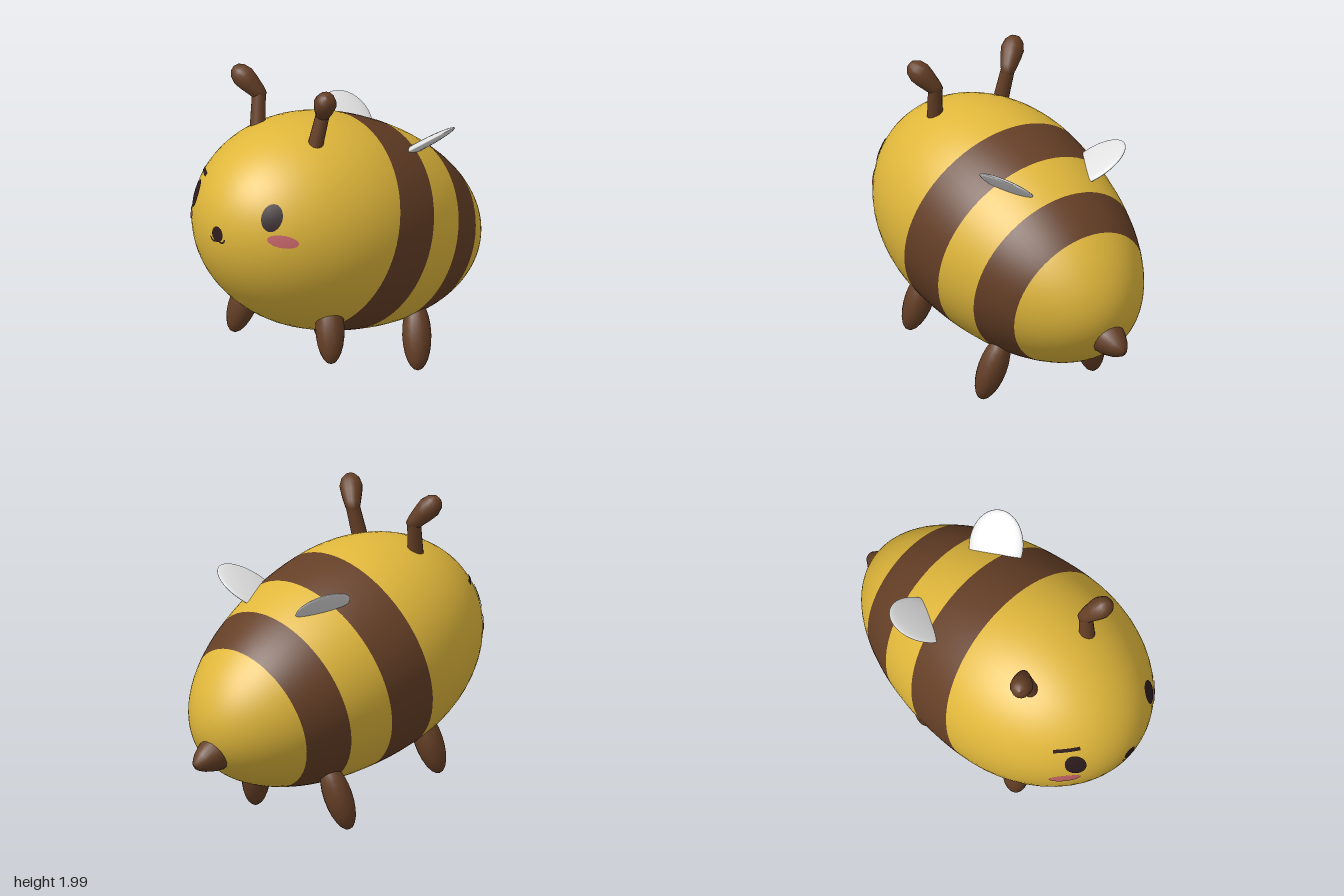
import * as THREE from 'three';

const V = (x, y, z) => new THREE.Vector3(x, y, z);
const mat = (name, color, side = THREE.FrontSide) => {
  const m = new THREE.MeshStandardMaterial({ color, side });
  m.name = name;
  return m;
};

// Egg-shaped body: radius B, widest at z = T0, long axis along z
const B = 0.68, T0 = 0.2, FRONT = 0.9, BACK = 1.29;
const halfLength = (z) => (z >= T0 ? FRONT : BACK);
const bodyNormal = (p) => {
  const a = halfLength(p.z);
  return V(p.x / (B * B), p.y / (B * B), (p.z - T0) / (a * a)).normalize();
};
const onBody = (p, lift = 1) => {
  const a = halfLength(p.z);
  const k = lift / Math.hypot(p.x / B, p.y / B, (p.z - T0) / a);
  return V(p.x * k, p.y * k, T0 + (p.z - T0) * k);
};

// One colour band of the body between two positions on the axis
function bodyBand(z0, z1) {
  const angle = (z) => Math.acos(THREE.MathUtils.clamp((z - T0) / halfLength(z), -1, 1));
  const a0 = angle(z0), a1 = angle(z1), n = 16, pts = [];
  for (let i = 0; i <= n; i++) {
    const a = a0 + ((a1 - a0) * i) / n, c = Math.cos(a);
    pts.push(new THREE.Vector2(B * Math.sin(a), T0 + c * (c >= 0 ? FRONT : BACK)));
  }
  const geo = new THREE.LatheGeometry(pts, 64).rotateX(Math.PI / 2);
  const pos = geo.attributes.position, p = V(0, 0, 0);
  for (let i = 0; i < pos.count; i++) {
    const nrm = bodyNormal(p.fromBufferAttribute(pos, i));
    geo.attributes.normal.setXYZ(i, nrm.x, nrm.y, nrm.z);
  }
  return geo;
}

// Wraps a flat geometry onto the face around (x, y)
function decal(geo, x, y, lift = 1.006) {
  const c = V(x, y, T0 + FRONT * Math.sqrt(1 - (x * x + y * y) / (B * B)));
  const n = bodyNormal(c);
  const tx = V(1, 0, 0).addScaledVector(n, -n.x).normalize();
  const ty = n.clone().cross(tx);
  const pos = geo.attributes.position;
  for (let i = 0; i < pos.count; i++) {
    const p = c.clone().addScaledVector(tx, pos.getX(i)).addScaledVector(ty, pos.getY(i));
    const q = onBody(p, lift);
    pos.setXYZ(i, q.x, q.y, q.z);
  }
  geo.computeVertexNormals();
  return geo;
}
const ellipse = (rx, ry, tilt = 0) =>
  new THREE.RingGeometry(0.001, 1, 32, 4).scale(rx, ry, 1).rotateZ(tilt);

export function createModel() {
  const model = new THREE.Group();
  model.name = 'bee';
  const bee = new THREE.Group();
  bee.name = 'tiltedBee';
  bee.position.set(0.033, 0.935, 0);
  bee.rotation.set(THREE.MathUtils.degToRad(-18.3), THREE.MathUtils.degToRad(-32), 0, 'YXZ');
  model.add(bee);

  const yellow = mat('yellow', 0xe0b73b);
  const brown = mat('brown', 0x653f26);
  const dark = mat('dark brown', 0x2e1c1e, THREE.DoubleSide);
  const pink = mat('pink', 0xcb686c, THREE.DoubleSide);
  const white = mat('white', 0xe0e0e0);

  const add = (name, geo, material) => {
    const mesh = new THREE.Mesh(geo, material);
    mesh.name = name;
    bee.add(mesh);
    return mesh;
  };
  const aim = (mesh, at, dir) => {
    mesh.position.copy(at);
    mesh.quaternion.setFromUnitVectors(V(0, 1, 0), dir.clone().normalize());
    return mesh;
  };

  // Striped body, tail to head
  const cuts = [T0 - BACK, -0.71, -0.43, -0.135, T0, T0 + FRONT];
  for (let i = 0; i < 5; i++) {
    const stripe = i % 2 === 1;
    add(stripe ? 'bodyStripe' : 'bodyBand', bodyBand(cuts[i], cuts[i + 1]), stripe ? brown : yellow);
  }

  // Stinger
  const stingerProfile = [[0, -0.08], [0.1, -0.05], [0.115, 0], [0.1, 0.07], [0.068, 0.14], [0.035, 0.185], [0, 0.2]]
    .map(([r, y]) => new THREE.Vector2(r, y));
  aim(add('stinger', new THREE.LatheGeometry(stingerProfile, 16), brown), V(0, -0.07, -1.03), V(0, 0, -1));

  const bulbProfile = [[0, -0.05], [0.035, -0.035], [0.05, 0.01], [0.066, 0.09], [0.072, 0.14], [0.058, 0.19], [0.032, 0.218], [0, 0.228]]
    .map(([r, y]) => new THREE.Vector2(r, y));

  for (const s of [1, -1]) {
    const side = s > 0 ? 'left' : 'right';

    // Antenna: stem and bent bulb
    const base = V(0.25 * s, 0.48, 0.66), knee = V(0.28 * s, 0.705, 0.69), tip = V(0.366 * s, 0.79, 0.785);
    const stemDir = knee.clone().sub(base);
    aim(add(side + 'AntennaStem', new THREE.CylinderGeometry(0.044, 0.05, stemDir.length(), 12), brown),
      base.clone().add(knee).multiplyScalar(0.5), stemDir);
    aim(add(side + 'AntennaBulb', new THREE.LatheGeometry(bulbProfile, 14), brown), knee, tip.sub(knee));

    // Legs
    for (const [name, y, z] of [['FrontLeg', -0.61, 0.29], ['BackLeg', -0.59, -0.5]]) {
      aim(add(side + name, new THREE.SphereGeometry(1, 16, 12).scale(0.09, 0.22, 0.09), brown),
        V(0.375 * s, y, z), V(0.25 * s, -0.95, -0.1));
    }

    // Wing: flat ellipsoid sunk into the back
    const along = V(0.46 * s, -0.093, 0.885).normalize();
    const out = V(0.7 * s, 0.65, -0.297);
    out.addScaledVector(along, -out.dot(along)).normalize();
    const wing = add(side + 'Wing', new THREE.SphereGeometry(1, 32, 20).scale(0.175, 0.23, 0.028), white);
    wing.quaternion.setFromRotationMatrix(new THREE.Matrix4().makeBasis(along, out, along.clone().cross(out)));
    wing.position.set(0.335 * s, 0.59, -0.205);

    // Eye, cheek and half of the small smile
    add(side + 'Eye', decal(ellipse(0.066, 0.088), 0.33 * s, 0.03), dark);
    add(side + 'Cheek', decal(ellipse(0.1, 0.04, -0.1 * s), 0.4 * s, -0.1), pink);
    const smile = new THREE.RingGeometry(0.02, 0.031, 12, 1, Math.PI, Math.PI);
    add(side + 'Smile', decal(smile, 0.032 * s, -0.182), dark);
  }

  // Mouth and the single slanted brow
  add('mouth', decal(ellipse(0.045, 0.05), 0, -0.16, 1.007), dark);
  add('rightBrow', decal(new THREE.PlaneGeometry(0.17, 0.028, 12, 2).rotateZ(-0.38), -0.33, 0.172), dark);

  return model;
}
